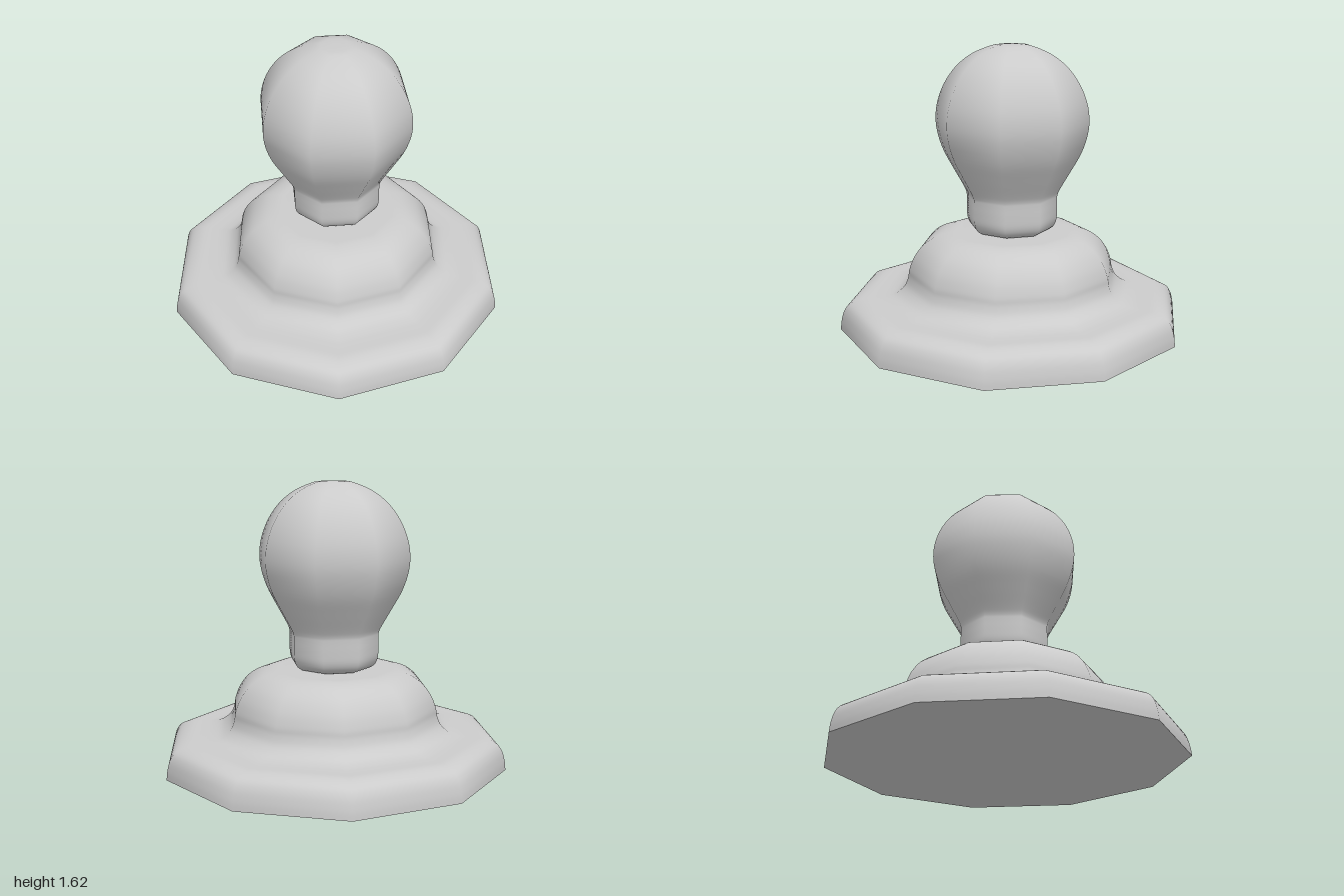
import * as THREE from 'three';

const material = new THREE.MeshStandardMaterial({ color: 0xcccccc });

// Turned part: a smooth profile (radius, height) from bottom to top, first corner on +x
function turned(name, profile, sides) {
  const curve = new THREE.SplineCurve(profile.map(([r, y]) => new THREE.Vector2(r, y)));
  const points = curve.getPoints(profile.length * 4);
  points.forEach((p) => { p.x = Math.max(p.x, 0); });
  const mesh = new THREE.Mesh(new THREE.LatheGeometry(points, sides, Math.PI / 2), material);
  mesh.name = name;
  return mesh;
}

export function createModel() {
  const group = new THREE.Group();
  group.name = 'pawn';

  // Ten-sided foot with a fillet rising into a rounded pedestal
  group.add(turned('base', [
    [1, 0], [0.995, 0.05], [0.978, 0.11], [0.945, 0.152], [0.88, 0.177],
    [0.8, 0.18], [0.74, 0.184], [0.68, 0.2], [0.63, 0.24], [0.607, 0.29],
    [0.598, 0.34], [0.57, 0.41], [0.52, 0.476], [0.45, 0.524], [0.375, 0.546],
    [0.3, 0.549], [0.15, 0.55], [0, 0.55],
  ], 10));

  // Flat underside
  const underside = new THREE.Mesh(new THREE.CircleGeometry(1, 10).rotateX(Math.PI / 2), material);
  underside.name = 'underside';
  group.add(underside);

  // Eight-sided collar and rounded head
  group.add(turned('head', [
    [0.17, 0.548], [0.21, 0.556], [0.243, 0.58], [0.26, 0.62], [0.263, 0.68],
    [0.263, 0.74], [0.266, 0.77], [0.285, 0.81], [0.34, 0.905], [0.395, 1.005],
    [0.428, 1.1], [0.44, 1.19], [0.428, 1.29], [0.387, 1.395], [0.32, 1.49],
    [0.23, 1.563], [0.12, 1.61], [0.06, 1.619], [0, 1.62],
  ], 8));

  return group;
}
